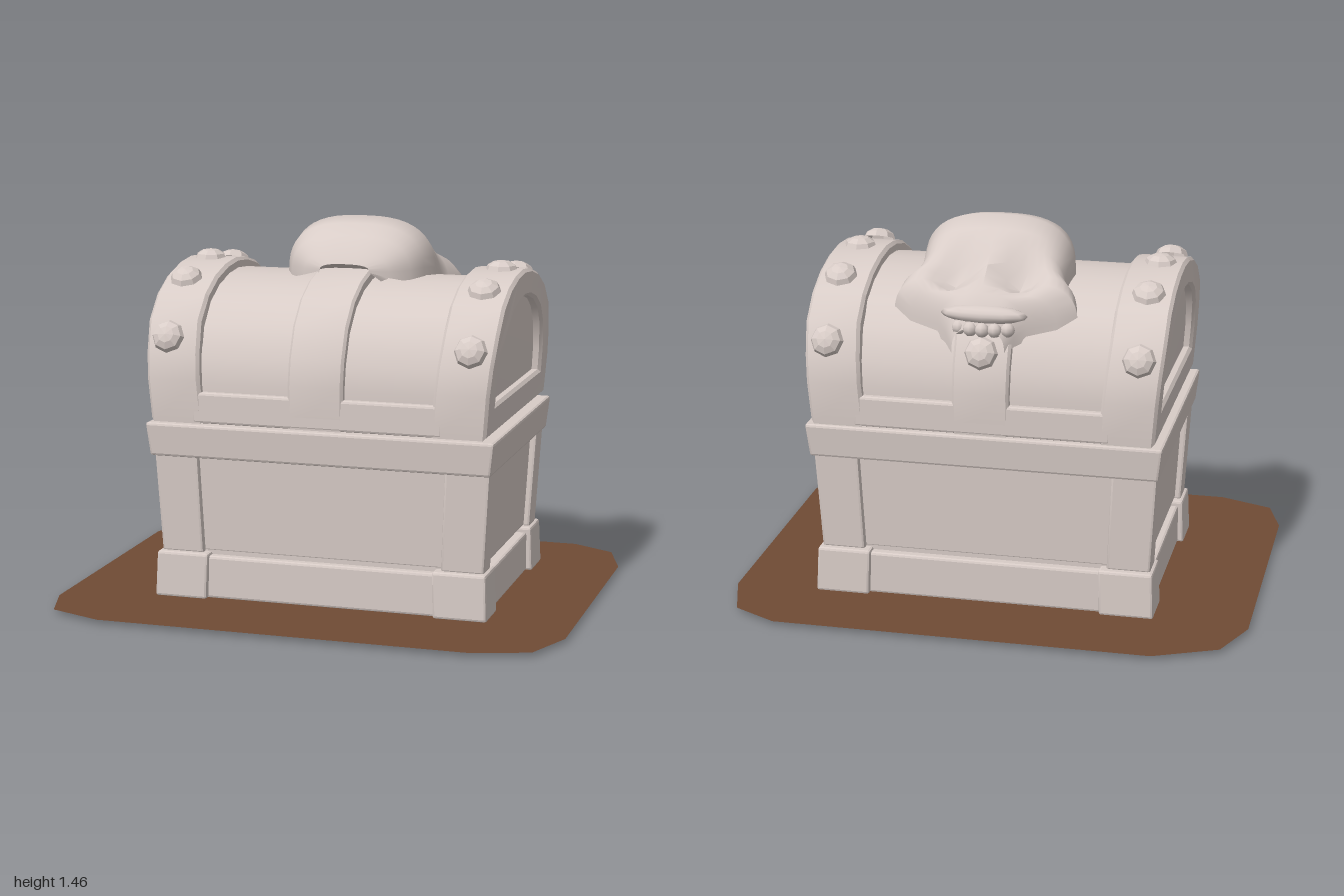
import * as THREE from 'three';
import { toCreasedNormals } from 'three/addons/utils/BufferGeometryUtils.js';
import { RoundedBoxGeometry } from 'three/addons/geometries/RoundedBoxGeometry.js';

const stone = new THREE.MeshStandardMaterial({ color: 0xd8ccc7, side: THREE.DoubleSide });
stone.name = 'pale stone';
const earth = new THREE.MeshStandardMaterial({ color: 0x704b35, side: THREE.DoubleSide });
earth.name = 'brown earth';

function add(parent, name, geometry, material = stone) {
  const mesh = new THREE.Mesh(geometry, material);
  mesh.name = name;
  parent.add(mesh);
  return mesh;
}

// Move every vertex by a rule, then rebuild the normals
function deform(geometry, rule, crease = 0.6) {
  const p = geometry.attributes.position, v = new THREE.Vector3();
  for (let i = 0; i < p.count; i++) {
    rule(v.fromBufferAttribute(p, i));
    p.setXYZ(i, v.x, v.y, v.z);
  }
  geometry.computeVertexNormals();
  return toCreasedNormals(geometry, crease);
}

// Chamfered block between two corners; flare widens the top about the chest's axis
function block(parent, name, [x0, x1], [y0, y1], [z0, z1], flare = 1, r = 0.01) {
  const g = new RoundedBoxGeometry(x1 - x0, y1 - y0, z1 - z0, 1, r);
  g.translate((x0 + x1) / 2, (y0 + y1) / 2, (z0 + z1) / 2);
  return add(parent, name, deform(g, v => {
    const s = 1 + (flare - 1) * (v.y - y0) / (y1 - y0);
    v.x *= s;
    v.z *= s;
  }, 0.3));
}

// Half profiles of the lid and of its end recess: [distance from axis, height]
const LID = [[0.5, 0.715], [0.507, 0.88], [0.488, 0.98], [0.435, 1.1], [0.345, 1.19], [0.235, 1.245], [0.115, 1.275], [0, 1.285]];
const RECESS = [[0.385, 0.83], [0.377, 0.92], [0.335, 1.03], [0.27, 1.1], [0.19, 1.145], [0.09, 1.172], [0, 1.18]];

function archPoints(half, su = 1, sy = 1) {
  const right = half.map(([u, y]) => new THREE.Vector2(u * su, 0.715 + (y - 0.715) * sy));
  const left = right.slice(0, -1).reverse().map(p => new THREE.Vector2(-p.x, p.y));
  return [...right, ...left];
}

// The ends of the lid lean outward
const lean = y => 0.03 * (THREE.MathUtils.clamp((y - 0.72) / 0.38, 0, 1) - 1);

function arch(shape, x0, x1, bevel) {
  const g = new THREE.ExtrudeGeometry(shape, {
    depth: x1 - x0 - 2 * bevel, bevelEnabled: bevel > 0, bevelSize: bevel,
    bevelOffset: -bevel, bevelThickness: bevel, bevelSegments: 1,
  });
  g.translate(0, 0, x0 + bevel);
  g.rotateY(Math.PI / 2);
  return deform(g, v => { if (Math.abs(v.x) > 0.3) v.x += Math.sign(v.x) * lean(v.y); });
}

function rivet(parent, x, u, y, nu, ny) {
  const g = new THREE.SphereGeometry(0.064, 8, 3, 0, Math.PI * 2, 0, Math.PI / 2).toNonIndexed();
  g.scale(1, 0.62, 1);
  g.computeVertexNormals();
  const m = add(parent, 'rivet', g);
  m.position.set(x, y, u);
  m.quaternion.setFromUnitVectors(new THREE.Vector3(0, 1, 0), new THREE.Vector3(0, ny, nu).normalize());
}

function buildBase() {
  const base = new THREE.Group();
  base.name = 'chestBase';
  block(base, 'bodyPanels', [-0.615, 0.615], [0.195, 0.59], [-0.415, 0.415], 1.035);
  for (const s of [-1, 1]) {
    const span = (a, b) => (s > 0 ? [a, b] : [-b, -a]);
    block(base, 'panelFoot', [-0.5, 0.5], [0.16, 0.24], span(0.385, 0.414));
    block(base, 'longSkirt', [-0.47, 0.47], [0.018, 0.185], span(0.4, 0.45));
    block(base, 'sideSkirt', span(0.58, 0.635), [0.018, 0.175], [-0.32, 0.32]);
    // Thin frame under the floor
    block(base, 'longSill', [-0.45, 0.45], [0, 0.02], span(0.293, 0.303), 1, 0.002);
    block(base, 'sideSill', span(0.44, 0.45), [0, 0.02], [-0.303, 0.303], 1, 0.002);
    for (const t of [-1, 1]) {
      const zSpan = (a, b) => (t > 0 ? [a, b] : [-b, -a]);
      block(base, 'cornerFoot', span(0.45, 0.66), [0.018, 0.196], zSpan(0.305, 0.475), 0.988);
      block(base, 'cornerPost', span(0.472, 0.64), [0.19, 0.59], zSpan(0.335, 0.44), 1.035);
    }
  }
  block(base, 'rim', [-0.67, 0.67], [0.575, 0.705], [-0.482, 0.482], 1.022);
  return base;
}

function buildLid() {
  const lid = new THREE.Group();
  lid.name = 'lid';
  add(lid, 'barrel', arch(new THREE.Shape(archPoints(LID, 0.937, 0.932)), -0.65, 0.65, 0));
  const bandShape = new THREE.Shape(archPoints(LID));
  bandShape.holes.push(new THREE.Path(archPoints(RECESS)));
  for (const s of [-1, 1]) {
    const [a, b] = s > 0 ? [0.475, 0.685] : [-0.685, -0.475];
    add(lid, 'endBand', arch(bandShape, a, b, 0.012));
    block(lid, 'lowerRail', [-0.49, 0.49], [0.716, 0.835], s > 0 ? [0.42, 0.502] : [-0.502, -0.42]);
    // Studs around each band
    for (const t of [-1, 1]) {
      rivet(lid, s * 0.59, t * 0.475, 1.04, t * 0.93, 0.4);
      rivet(lid, s * 0.59, t * 0.275, 1.237, t * 0.4, 0.9);
    }
    rivet(lid, s * 0.59, 0, 1.278, 0, 1);
  }
  add(lid, 'centreStrap', arch(new THREE.Shape(archPoints(LID)), -0.108, 0.108, 0.01));
  rivet(lid, 0, -0.475, 1.03, -0.93, 0.4);
  return lid;
}

// Skull slices from crown to muzzle: [z, half width, top, bottom]
const SKULL = [
  [0.05, 0.16, 1.27, 1.2], [0.135, 0.1, 1.3, 1.27], [0.11, 0.17, 1.34, 1.25], [0.05, 0.24, 1.4, 1.23],
  [-0.02, 0.275, 1.44, 1.22], [-0.12, 0.295, 1.46, 1.2], [-0.2, 0.285, 1.425, 1.18], [-0.25, 0.285, 1.39, 1.16],
  [-0.29, 0.305, 1.355, 1.14], [-0.33, 0.34, 1.325, 1.13], [-0.37, 0.35, 1.295, 1.11], [-0.41, 0.28, 1.265, 1.08],
  [-0.435, 0.17, 1.24, 1.07], [-0.47, 0.13, 1.19, 1.05], [-0.5, 0.1, 1.12, 1.02],
];

function buildSkull() {
  const skull = new THREE.Group();
  skull.name = 'skull';
  const N = 24, pos = [], idx = [];
  SKULL.forEach(([z, w, top, bottom], r) => {
    for (let i = 0; i <= N; i++) {
      const a = Math.PI * i / N, c = Math.cos(a);
      const x = Math.sign(c) * w * Math.abs(c) ** 0.75;
      let y = bottom + (top - bottom) * Math.abs(Math.sin(a)) ** 0.65;
      // Eye sockets
      const d = ((Math.abs(x) - 0.125) / 0.075) ** 2 + ((z + 0.335) / 0.065) ** 2;
      y -= 0.1 * Math.exp(-d);
      pos.push(x + 0.035, y, z);
      if (r && i < N) {
        const q = r * (N + 1) + i, p = q - N - 1;
        idx.push(p, q, p + 1, q, q + 1, p + 1);
      }
    }
  });
  const g = new THREE.BufferGeometry();
  g.setAttribute('position', new THREE.Float32BufferAttribute(pos, 3));
  g.setIndex(idx);
  add(skull, 'cranium', toCreasedNormals(g, 0.9));
  // Upper jaw and teeth
  const jaw = add(skull, 'upperJaw', new THREE.SphereGeometry(1, 12, 8));
  jaw.scale.set(0.165, 0.035, 0.045);
  jaw.position.set(0.02, 1.165, -0.46);
  for (let i = -2; i <= 2; i++) {
    const tooth = add(skull, 'tooth', new THREE.SphereGeometry(0.028, 8, 6));
    tooth.position.set(0.02 + i * 0.046, 1.115, -0.495 + 0.005 * i * i);
  }
  return skull;
}

export function createModel() {
  const model = new THREE.Group();
  model.name = 'treasureChest';

  // Ground patch with clipped corners
  const outline = [[-0.68, -0.82], [0.76, -0.82], [0.93, -0.73], [1, -0.51], [1, 0.54], [0.92, 0.74],
    [0.71, 0.81], [-0.73, 0.81], [-0.94, 0.73], [-1, 0.54], [-1, -0.51], [-0.92, -0.71]];
  const ground = new THREE.ShapeGeometry(new THREE.Shape(outline.map(([x, z]) => new THREE.Vector2(x, -z))));
  ground.rotateX(-Math.PI / 2);
  add(model, 'groundPatch', ground, earth).position.y = 0.016;

  const chest = new THREE.Group();
  chest.name = 'chest';
  chest.position.set(0.02, 0, -0.035);
  chest.add(buildBase(), buildLid());
  model.add(chest, buildSkull());
  return model;
}
